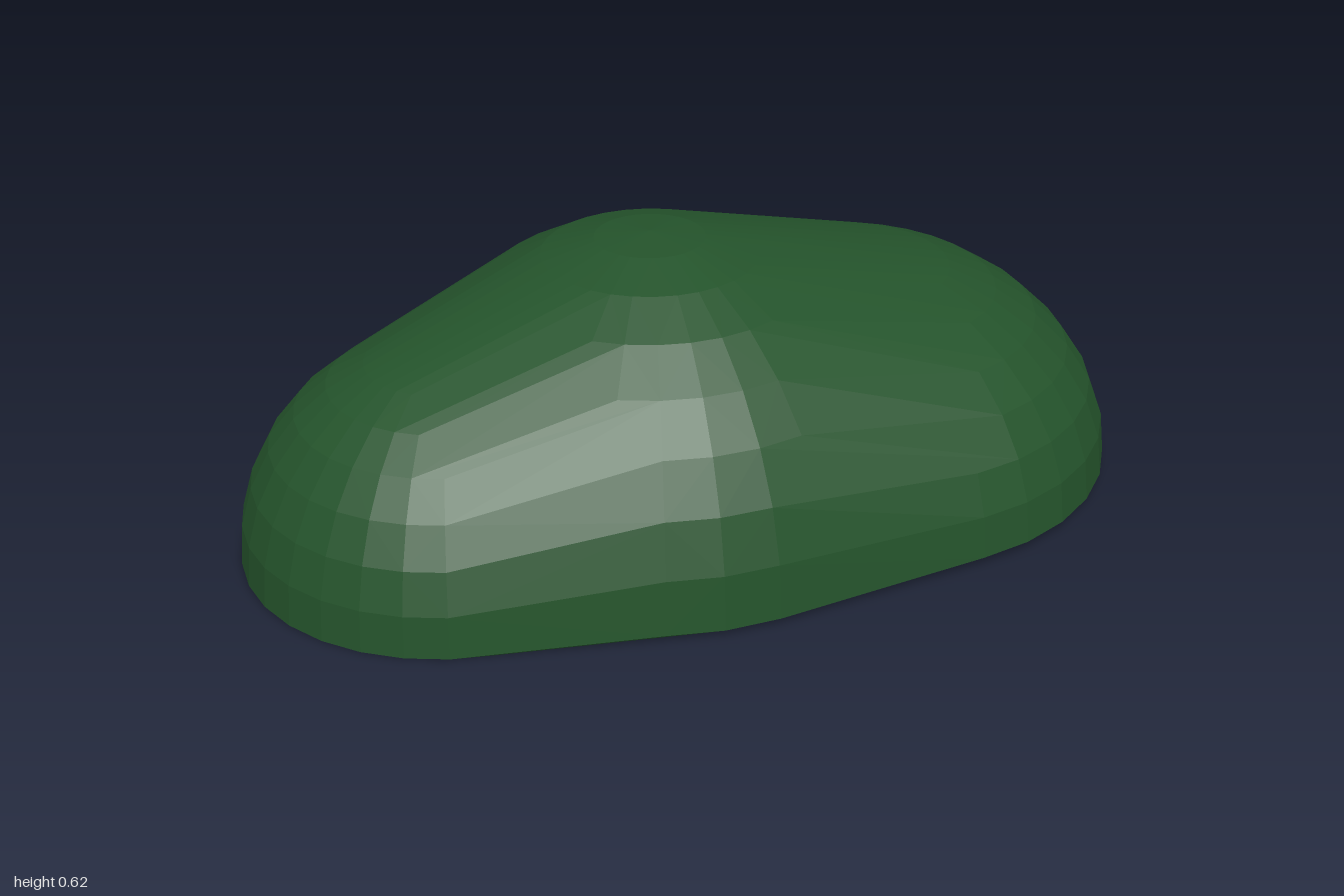
import * as THREE from 'three';
import { ConvexGeometry } from 'three/addons/geometries/ConvexGeometry.js';

const STEP = Math.PI / 16;

// Points of a half ellipsoid resting on height y, centred at x
function domePoints({ x, y, radius, height, maxX = Infinity }) {
  const points = [new THREE.Vector3(x, y + height, 0)];
  for (let lat = 0; lat < 8; lat++) {
    for (let lon = 0; lon < 32; lon++) {
      const r = radius * Math.cos(lat * STEP);
      points.push(new THREE.Vector3(
        x + r * Math.cos(lon * STEP),
        y + height * Math.sin(lat * STEP),
        r * Math.sin(lon * STEP)
      ));
    }
  }
  return points.filter((p) => p.x <= maxX);
}

export function createModel() {
  const group = new THREE.Group();
  group.name = 'bush';

  // Three domes wrapped in one tight skin: narrow end, crown, low broad end
  const domes = [
    { x: -0.54, y: 0, radius: 0.46, height: 0.46, maxX: -0.53 },
    { x: -0.085, y: 0.016, radius: 0.605, height: 0.605 },
    { x: 0.397, y: 0.022, radius: 0.603, height: 0.468 },
  ];
  const mound = new THREE.Mesh(
    new ConvexGeometry(domes.flatMap(domePoints)),
    new THREE.MeshStandardMaterial({ color: 0x24532b })
  );
  mound.name = 'mound';
  group.add(mound);
  return group;
}
